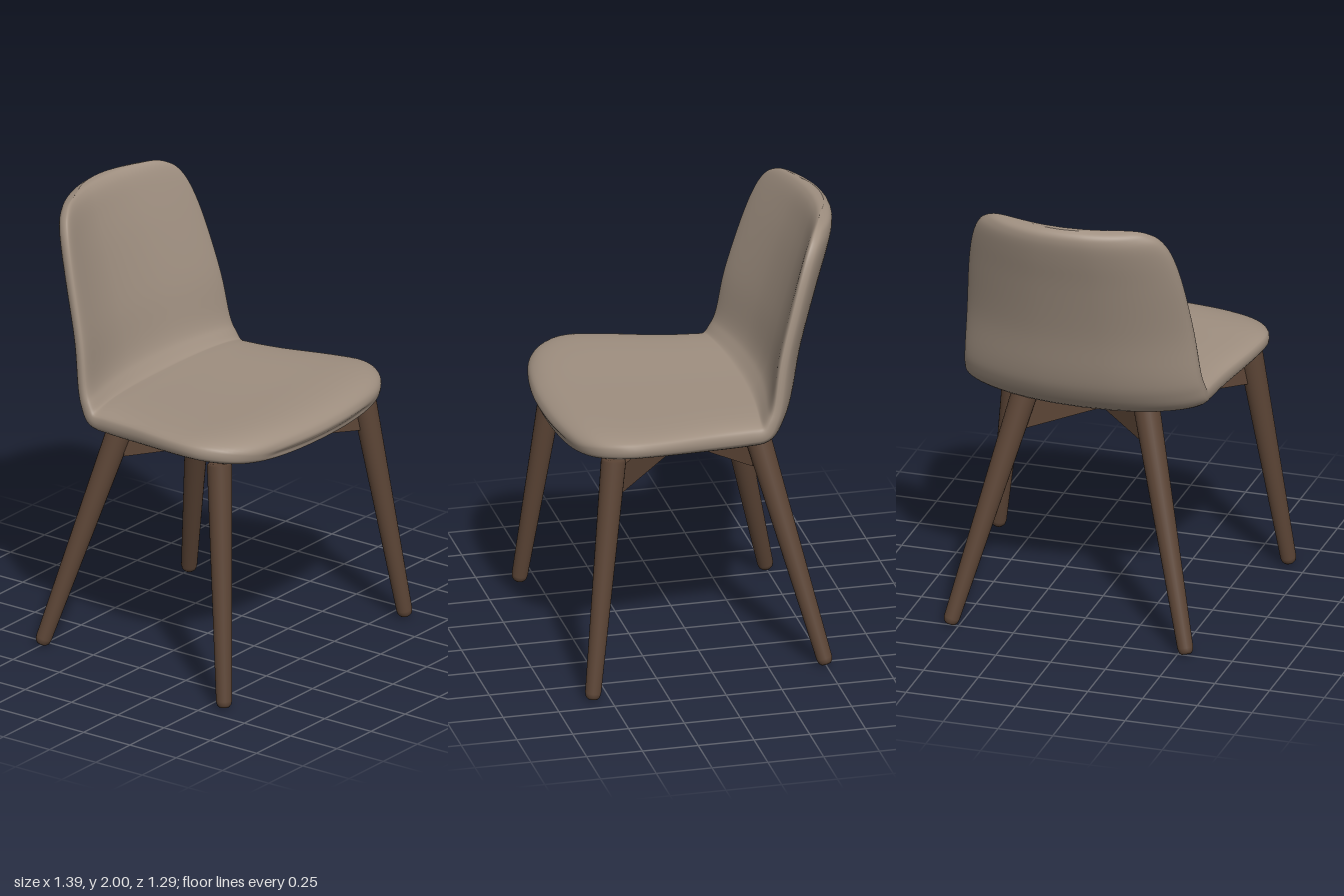
import * as THREE from 'three';

const fabric = new THREE.MeshStandardMaterial({ color: 0x9f8f80 });
fabric.name = 'taupe upholstery';
const wood = new THREE.MeshStandardMaterial({ color: 0x5c4536 });
wood.name = 'dark walnut';

// Shell stations from the front lip to the top of the back:
// centre z, centre y, half width, half thickness, sideways bow in z, lift of the sides in y
const STATIONS = [
  [0.645, 1.1, 0.26, 0, -0.02, 0],
  [0.637, 1.103, 0.42, 0.036, -0.04, 0],
  [0.6, 1.11, 0.525, 0.058, -0.05, 0.01],
  [0.53, 1.115, 0.595, 0.07, -0.05, 0.018],
  [0.42, 1.116, 0.634, 0.073, -0.04, 0.024],
  [0.25, 1.106, 0.62, 0.076, -0.02, 0.028],
  [0.0, 1.092, 0.573, 0.082, 0, 0.028],
  [-0.18, 1.088, 0.555, 0.081, 0.03, 0.028],
  [-0.285, 1.098, 0.552, 0.075, 0.06, 0.024],
  [-0.35, 1.16, 0.547, 0.065, 0.09, 0.012],
  [-0.392, 1.25, 0.537, 0.056, 0.105, 0],
  [-0.44, 1.45, 0.517, 0.053, 0.12, 0],
  [-0.513, 1.7, 0.487, 0.053, 0.125, 0],
  [-0.562, 1.85, 0.455, 0.053, 0.125, 0],
  [-0.588, 1.93, 0.418, 0.05, 0.115, 0],
  [-0.602, 1.97, 0.37, 0.041, 0.1, 0],
  [-0.609, 1.99, 0.31, 0.026, 0.08, 0],
  [-0.612, 2.0, 0.2, 0, 0.055, 0],
];

// One-piece seat and back: superellipse sections swept along the stations
function shellGeometry() {
  const curve = (i) => new THREE.CatmullRomCurve3(
    STATIONS.map((s) => new THREE.Vector3(s[i], s[i + 1], s[i + 2])), false, 'catmullrom', 0.5);
  const path = curve(0);
  const shape = curve(3);
  const rows = (STATIONS.length - 1) * 5;
  const ring = 56;
  const power = (v, e) => Math.sign(v) * Math.abs(v) ** e;
  const positions = [];
  for (let r = 0; r <= rows; r++) {
    const t = r / rows;
    const c = path.getPoint(t);
    const d = shape.getPoint(t);
    const a = path.getPoint(Math.max(0, t - 0.004));
    const b = path.getPoint(Math.min(1, t + 0.004));
    const dz = b.x - a.x, dy = b.y - a.y, len = Math.hypot(dz, dy);
    const nz = dy / len, ny = -dz / len; // faces up on the seat, forward on the back
    const h = Math.max(0, d.x);
    for (let k = 0; k < ring; k++) {
      const angle = (k / ring) * Math.PI * 2;
      const u = power(Math.cos(angle), 0.65);
      const off = h * power(Math.sin(angle), 0.65);
      positions.push(c.z * u, c.y + ny * off + d.z * u * u, c.x + nz * off + d.y * u * u);
    }
  }
  // Wood faces are the base panel under the seat, all others are fabric
  const cloth = [], base = [];
  for (let r = 0; r < rows; r++) {
    for (let k = 0; k < ring; k++) {
      const n = (k + 1) % ring;
      const p = r * ring + k, q = r * ring + n;
      const under = r >= 14 && r < 40 && k >= ring / 2 + 4 && k < ring - 4;
      (under ? base : cloth).push(p, p + ring, q, q, p + ring, q + ring);
    }
  }
  const g = new THREE.BufferGeometry();
  g.setAttribute('position', new THREE.Float32BufferAttribute(positions, 3));
  g.setIndex([...cloth, ...base]);
  g.addGroup(0, cloth.length, 0);
  g.addGroup(cloth.length, base.length, 1);
  g.computeVertexNormals();
  return g;
}

// Tapered round leg with a softened foot, from foot to top
function leg(name, foot, top, topRadius) {
  const dir = top.clone().sub(foot);
  const length = dir.length();
  const profile = [[0, 0], [0.022, 0.002], [0.031, 0.012], [0.035, 0.03],
    [topRadius, length - 0.01], [topRadius - 0.008, length], [0, length]]
    .map(([x, y]) => new THREE.Vector2(x, y));
  const mesh = new THREE.Mesh(new THREE.LatheGeometry(profile, 24), wood);
  mesh.name = name;
  mesh.position.copy(foot);
  mesh.quaternion.setFromUnitVectors(new THREE.Vector3(0, 1, 0), dir.normalize());
  return mesh;
}

// Flat rail standing on edge between two points
function rail(name, from, to, height) {
  const mesh = new THREE.Mesh(new THREE.BoxGeometry(0.05, height, from.distanceTo(to)), wood);
  mesh.name = name;
  mesh.position.copy(from).add(to).multiplyScalar(0.5);
  mesh.lookAt(to);
  return mesh;
}

export function createModel() {
  const model = new THREE.Group();
  model.name = 'chair';

  const shell = new THREE.Mesh(shellGeometry(), [fabric, wood]);
  shell.name = 'seatShell';
  model.add(shell);

  // Splayed legs and the crossed rails joining them at the centre
  const V = (x, y, z) => new THREE.Vector3(x, y, z);
  for (const s of [1, -1]) {
    const side = s > 0 ? 'Left' : 'Right';
    model.add(
      leg(`front${side}Leg`, V(0.665 * s, 0.005, 0.578), V(0.523 * s, 1.075, 0.448), 0.055),
      leg(`rear${side}Leg`, V(0.54 * s, 0.005, -0.5), V(0.275 * s, 1.05, -0.245), 0.058),
      rail(`front${side}Rail`, V(0, 0.963, 0.02), V(0.51 * s, 0.963, 0.44), 0.126),
      rail(`rear${side}Rail`, V(0, 0.963, 0.03), V(0.29 * s, 0.935, -0.25), 0.126),
    );
  }
  return model;
}
